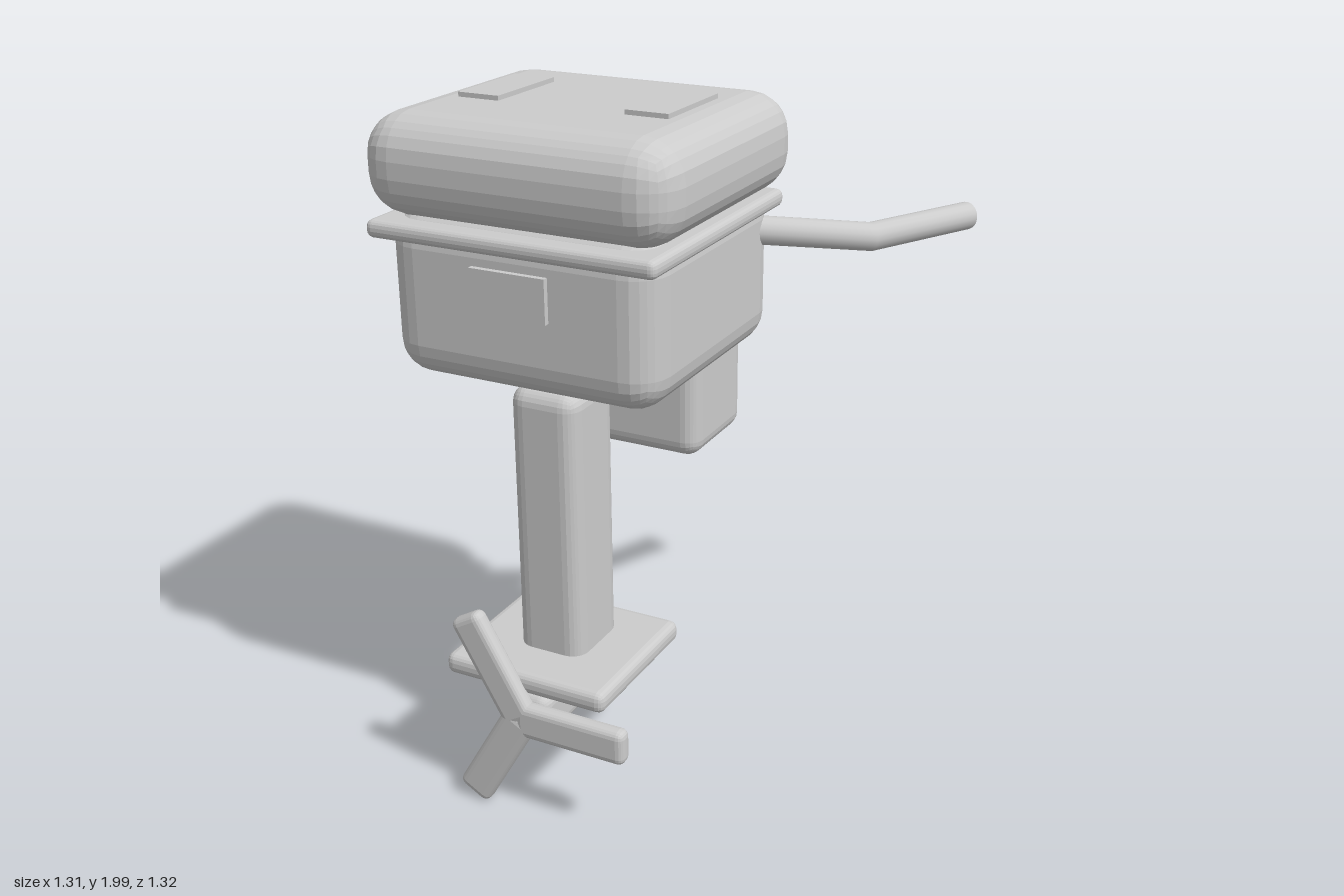
import * as THREE from 'three';
import { RoundedBoxGeometry } from 'three/addons/geometries/RoundedBoxGeometry.js';

const material = new THREE.MeshStandardMaterial({ color: 0xcccccc, flatShading: true });
const tubeMaterial = new THREE.MeshStandardMaterial({ color: 0xcccccc, side: THREE.DoubleSide });

// Bevelled block given by its [min, max] range on each axis
function block(name, [x0, x1], [y0, y1], [z0, z1], radius, segments = 3) {
  const size = [x1 - x0, y1 - y0, z1 - z0];
  const geometry = radius > 0
    ? new RoundedBoxGeometry(...size, segments, radius)
    : new THREE.BoxGeometry(...size);
  const mesh = new THREE.Mesh(geometry, material);
  mesh.name = name;
  mesh.position.set((x0 + x1) / 2, (y0 + y1) / 2, (z0 + z1) / 2);
  return mesh;
}

// Straight runs between points, sampled exactly at the corners
class Polyline extends THREE.Curve {
  constructor(points) {
    super();
    this.points = points;
  }
  getPoint(t, target = new THREE.Vector3()) {
    const last = this.points.length - 1;
    const i = Math.min(Math.floor(t * last), last - 1);
    return target.lerpVectors(this.points[i], this.points[i + 1], t * last - i);
  }
  getPointAt(u, target) {
    return this.getPoint(u, target);
  }
  getTangentAt(u, target) {
    return this.getTangent(u, target);
  }
}

export function createModel() {
  const model = new THREE.Group();
  model.name = 'outboardMotor';

  // Engine housing
  model.add(
    block('engineCowl', [-0.657, 0.255], [1.71, 1.987], [-0.206, 0.622], 0.115),
    block('cowlSeam', [-0.63, 0.225], [1.66, 1.71], [-0.17, 0.62], 0.02, 2),
    block('engineBody', [-0.605, 0.202], [1.27, 1.74], [-0.165, 0.588], 0.1),
    block('frontPlate', [-0.315, -0.09], [1.5, 1.622], [0.598, 0.614], 0)
  );

  // Flat pads on the cowl
  for (const x of [-0.515, -0.012]) {
    model.add(block('cowlPad', [x, x + 0.125], [1.98, 2], [0.035, 0.322], 0));
  }

  // Transom mount and lower unit
  model.add(
    block('mountBracket', [-0.495, 0.092], [0.96, 1.355], [-0.202, 0.12], 0.05),
    block('driveLeg', [-0.306, -0.096], [0.375, 1.25], [0.243, 0.48], 0.05),
    block('cavitationPlate', [-0.46, 0.055], [0.385, 0.45], [0.15, 0.625], 0.025, 2),
    block('gearCase', [-0.275, -0.125], [0.245, 0.385], [0.35, 0.625], 0.035)
  );

  // Three-bladed propeller
  const propeller = new THREE.Group();
  propeller.name = 'propeller';
  propeller.position.set(-0.2, 0.318, 0.637);
  for (let i = 0; i < 3; i++) {
    const arm = new THREE.Group();
    arm.name = 'propellerArm';
    arm.rotation.z = (i * Math.PI * 2) / 3;
    arm.add(block('blade', [-0.01, 0.337], [-0.053, 0.053], [-0.027, 0.027], 0.022, 2));
    propeller.add(arm);
  }
  model.add(propeller);

  // Bent tiller handle with an open end
  const path = new Polyline([
    new THREE.Vector3(0.15, 1.607, -0.07),
    new THREE.Vector3(0.452, 1.575, -0.26),
    new THREE.Vector3(0.612, 1.56, -0.645)
  ]);
  const handle = new THREE.Mesh(new THREE.TubeGeometry(path, 2, 0.041, 16, false), tubeMaterial);
  handle.name = 'tillerHandle';
  model.add(handle);

  return model;
}
